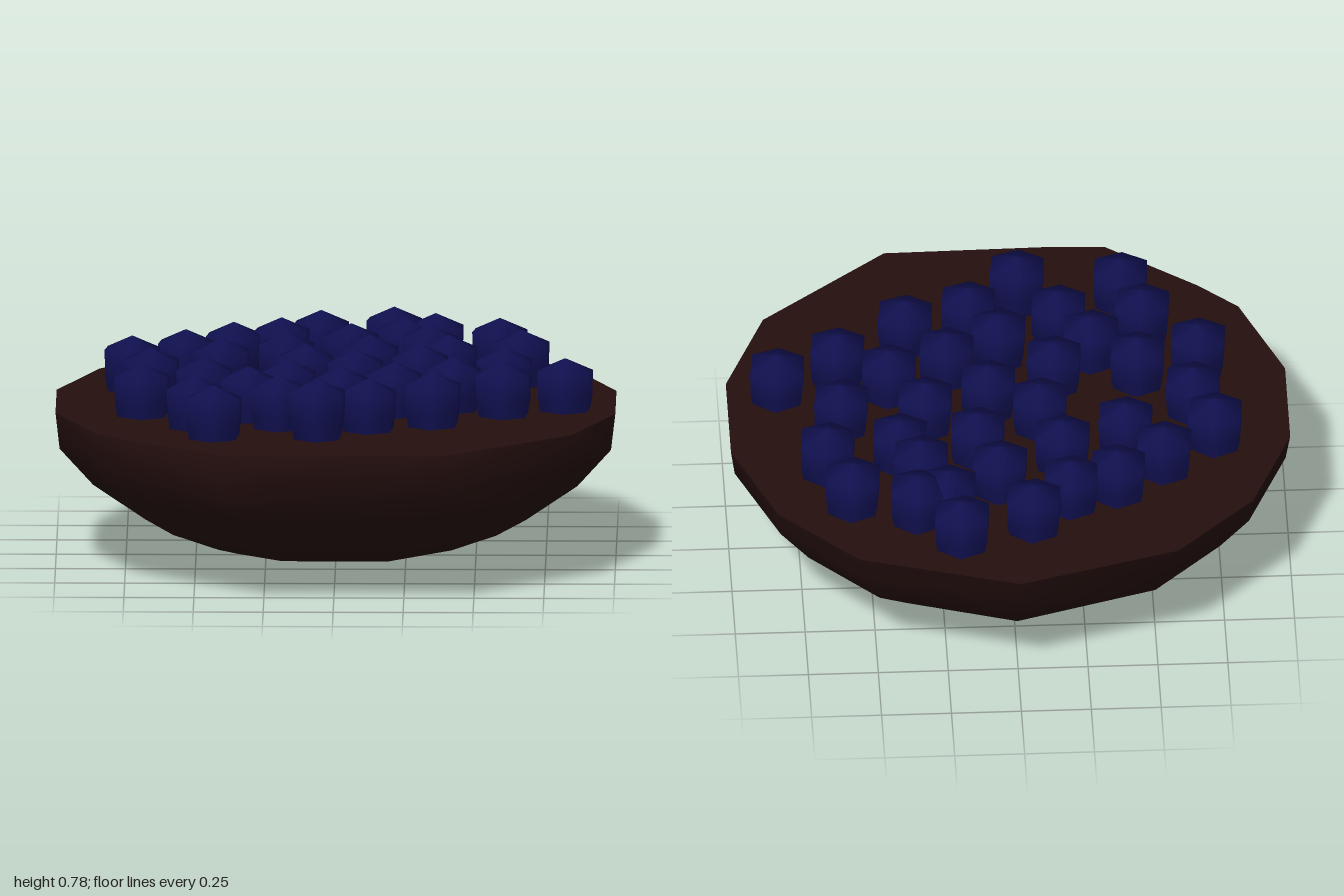
import * as THREE from 'three';

const shellColor = new THREE.MeshStandardMaterial({ color: 0x240f0e });
shellColor.name = 'dark brown';
const berryColor = new THREE.MeshStandardMaterial({ color: 0x10104f });
berryColor.name = 'deep blue';

// faceted outline of the rim as [x, z], clockwise from above
const rim = [
  [0, -0.99], [0.57, -0.82], [0.85, -0.54], [1, -0.17], [1, 0.23], [0.85, 0.6], [0.4, 0.97],
  [-0.2, 0.98], [-0.39, 0.97], [-0.71, 0.73], [-0.85, 0.6], [-1, 0.23], [-1, -0.17],
  [-0.85, -0.54], [-0.57, -0.82],
];
// bowl levels: height, x scale, z scale, z offset
const levels = [
  [0.565, 1, 1, 0], [0.44, 0.985, 0.98, 0.035], [0.3, 0.865, 0.88, 0.02],
  [0.17, 0.68, 0.73, 0.03], [0.085, 0.49, 0.52, 0.01], [0, 0, 0, 0.02],
];
// berry centres as [x, z]
const berrySpots = [
  [0.2, -0.74], [-0.06, -0.66], [0.35, -0.59], [0.24, -0.56], [-0.2, -0.53], [0.58, -0.51],
  [-0.37, -0.47], [0.05, -0.43], [0.33, -0.39], [-0.54, -0.34], [-0.18, -0.29], [0.66, -0.3],
  [0.4, -0.25], [0.12, -0.23], [-0.73, -0.19], [-0.41, -0.19], [-0.11, -0.07], [0.3, -0.05],
  [0.6, -0.04], [-0.66, 0], [0.07, 0.04], [0.82, 0.15], [0.42, 0.15], [-0.47, 0.18],
  [-0.17, 0.18], [0.21, 0.24], [0.6, 0.25], [-0.69, 0.26], [-0.31, 0.32], [0.02, 0.34],
  [-0.5, 0.47], [-0.2, 0.47], [0.35, 0.43], [0.12, 0.51], [-0.43, 0.65], [-0.06, 0.65],
];

function indexed(positions, index) {
  const g = new THREE.BufferGeometry();
  g.setAttribute('position', new THREE.Float32BufferAttribute(positions, 3));
  g.setIndex(index);
  g.computeVertexNormals();
  return g;
}

// joins closed rings of n points from top to bottom
function loftIndex(ringCount, n) {
  const index = [];
  for (let r = 0; r < ringCount - 1; r++) {
    for (let i = 0; i < n; i++) {
      const a = r * n + i, b = r * n + (i + 1) % n;
      index.push(a, b, a + n, b, b + n, a + n);
    }
  }
  return index;
}

function bowlGeometry() {
  const p = [];
  for (const [y, sx, sz, cz] of levels) for (const [x, z] of rim) p.push(x * sx, y, z * sz + cz);
  return indexed(p, loftIndex(levels.length, rim.length));
}

function fillingGeometry() {
  const p = [0, 0.565, 0], index = [];
  rim.forEach(([x, z], i) => {
    p.push(x, 0.565, z);
    index.push(0, (i + 1) % rim.length + 1, i + 1);
  });
  return indexed(p, index);
}

// six-sided lump with a shallow peak, widest near the top
function berryGeometry() {
  const rings = [[0.755, 0.001], [0.712, 0.108], [0.62, 0.106], [0.54, 0.092]];
  const p = [];
  for (const [y, r] of rings) {
    for (let i = 0; i < 6; i++) {
      const a = (-84 + i * 60) * Math.PI / 180;
      p.push(Math.cos(a) * r, y + (i % 2 && r > 0.1 ? -0.008 : 0), Math.sin(a) * r);
    }
  }
  return indexed(p, loftIndex(rings.length, 6));
}

export function createModel() {
  const model = new THREE.Group();
  model.name = 'berryBowl';

  const bowl = new THREE.Mesh(bowlGeometry(), shellColor);
  bowl.name = 'bowl';
  const filling = new THREE.Mesh(fillingGeometry(), shellColor);
  filling.name = 'filling';
  model.add(bowl, filling);

  const berries = new THREE.Group();
  berries.name = 'berries';
  const geometry = berryGeometry();
  berrySpots.forEach(([x, z], i) => {
    const berry = new THREE.Mesh(geometry, berryColor);
    berry.name = 'berry';
    // the frontmost berry sits a little higher than the rest
    const lift = i === berrySpots.length - 1 ? 0.024 : (i % 3 - 1) * 0.004;
    berry.position.set(x, lift, z);
    berries.add(berry);
  });
  model.add(berries);
  return model;
}
